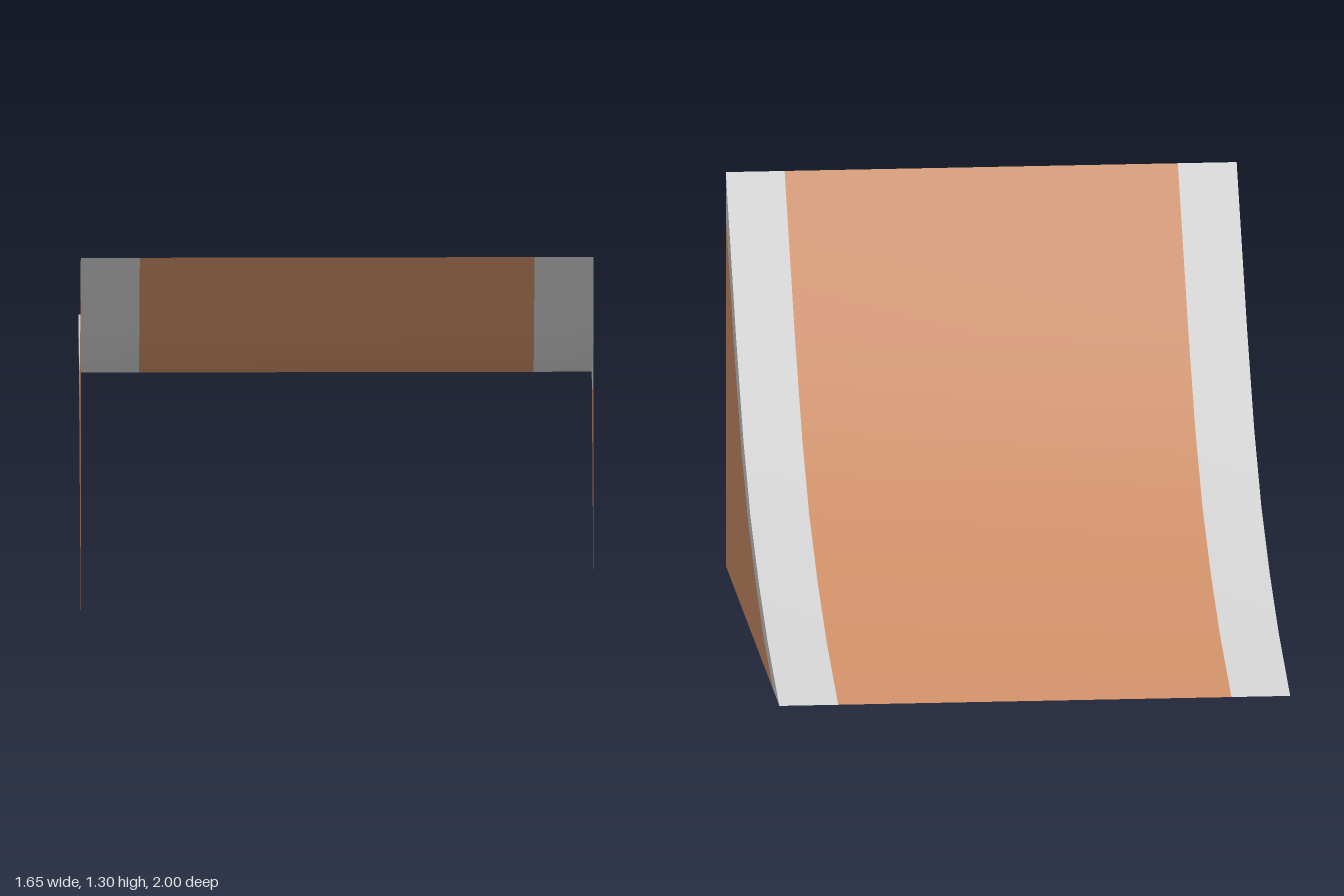
import * as THREE from 'three';

const HALF = 0.825;   // half width of the ramp
const STRIPE = 0.635; // inner edge of the side stripes

// Profiles as [z, y], from the high front lip to the low back edge
const deckCurve = [[1, 1.3], [0.61, 0.837], [0.34, 0.565], [0.08, 0.377], [-0.24, 0.225], [-0.57, 0.108], [-1, 0]];
const trimCurve = [[1, 1.155], [0.64, 0.737], [0.4, 0.505], [0.16, 0.337], [-0.13, 0.197], [-0.41, 0.09], [-0.77, 0]];
const floorLine = trimCurve.map(([z], i) => [i === 0 ? 0.99 : z, 0]);

// Places a profile in the plane x
const at = (x, profile) => profile.map(([z, y]) => [x, y, z]);

// Surface spanned between two rows of points
function ribbon(name, a, b, material) {
  const index = [];
  const n = a.length;
  for (let i = 0; i < n - 1; i++) {
    index.push(i, n + i, i + 1, n + i, n + i + 1, i + 1);
  }
  const geometry = new THREE.BufferGeometry();
  geometry.setAttribute('position', new THREE.Float32BufferAttribute([...a, ...b].flat(), 3));
  geometry.setIndex(index);
  geometry.computeVertexNormals();
  const mesh = new THREE.Mesh(geometry, material);
  mesh.name = name;
  return mesh;
}

export function createModel() {
  const wood = new THREE.MeshStandardMaterial({ color: 0xcf9068, side: THREE.DoubleSide });
  wood.name = 'orange wood';
  const paint = new THREE.MeshStandardMaterial({ color: 0xd2d2d2, side: THREE.DoubleSide });
  paint.name = 'light grey paint';

  const ramp = new THREE.Group();
  ramp.name = 'ramp';

  // Curved riding surface
  ramp.add(ribbon('deck', at(-STRIPE, deckCurve), at(STRIPE, deckCurve), wood));

  for (const side of [1, -1]) {
    const label = side > 0 ? 'left' : 'right';
    // Orders the rows so each surface faces outward
    const add = (name, a, b, material) =>
      ramp.add(side > 0 ? ribbon(label + name, a, b, material) : ribbon(label + name, b, a, material));
    const x = side * HALF;

    // Stripe along the deck edge, trim band on the wall, and the wall panel
    add('DeckStripe', at(side * STRIPE, deckCurve), at(x, deckCurve), paint);
    add('WallTrim', at(x, deckCurve), at(x, trimCurve), paint);
    add('WallPanel', at(x, trimCurve), at(x, floorLine), wood);
  }
  return ramp;
}
